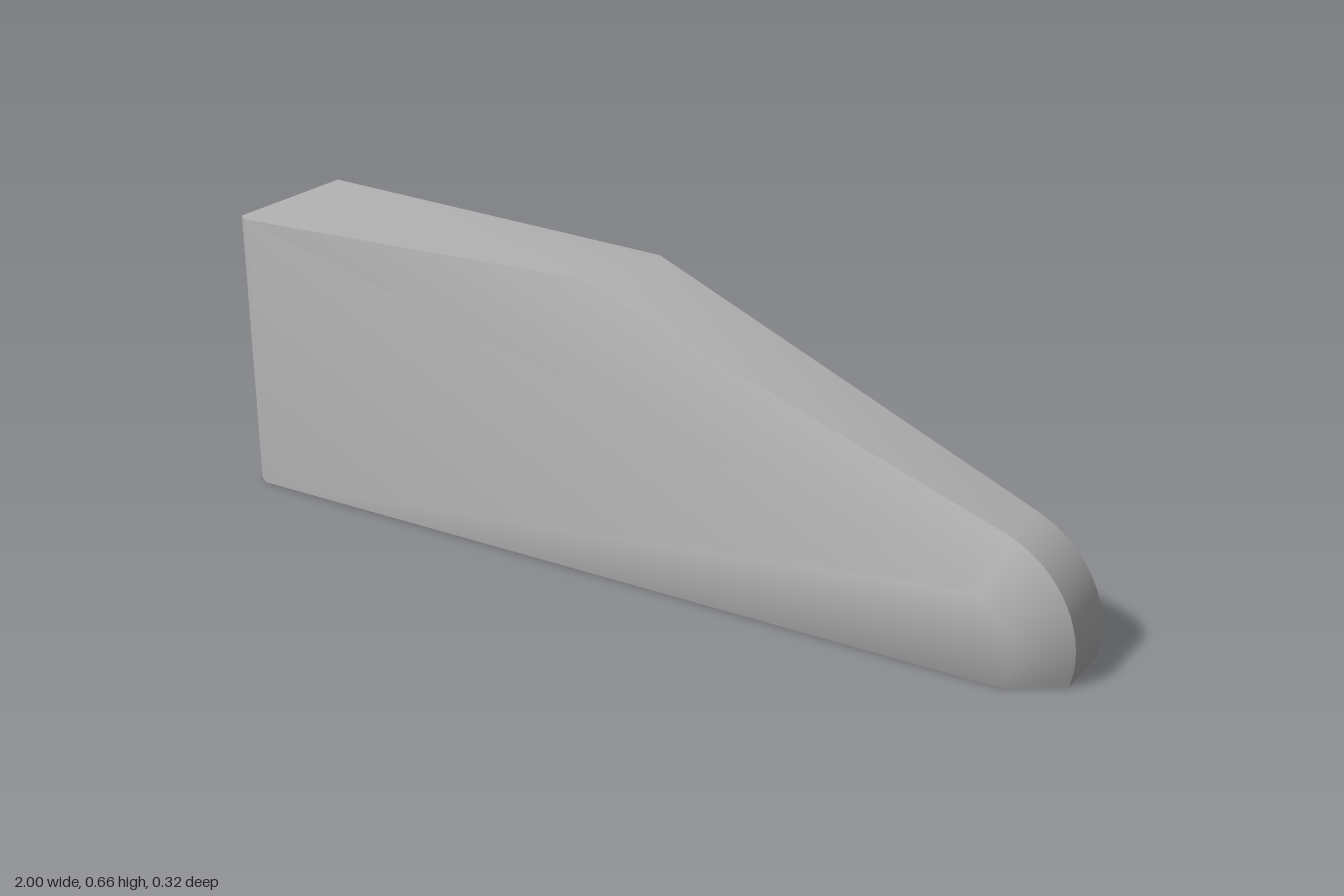
import * as THREE from 'three';
import { toCreasedNormals } from 'three/addons/utils/BufferGeometryUtils.js';

const ARC_STEPS = 16;

// One side contour: left edge, top kink, rounded nose, down to the floor.
function contour({ left, kink, nose, radius, startDeg, z }) {
  const pts = [[left[0], 0, left[1]], [left[0], 0.66, left[1]], [kink[0], 0.66, kink[1]]];
  const cy = 0.065;
  const start = THREE.MathUtils.degToRad(startDeg);
  const end = Math.asin(-cy / radius);
  for (let i = 0; i <= ARC_STEPS; i++) {
    const a = start + (end - start) * i / ARC_STEPS;
    pts.push([nose + radius * Math.cos(a), cy + radius * Math.sin(a), z]);
  }
  return pts.map(p => new THREE.Vector3(...p));
}

// Join the contours from front to back and close both ends.
function loft(rings) {
  const pos = [];
  const tri = (a, b, c) => {
    if (new THREE.Triangle(a, b, c).getArea() < 1e-7) return;
    for (const p of [a, b, c]) pos.push(p.x, p.y, p.z);
  };
  const n = rings[0].length;
  for (let r = 0; r < rings.length - 1; r++) {
    const f = rings[r], b = rings[r + 1];
    for (let i = 0; i < n; i++) {
      const j = (i + 1) % n;
      tri(f[i], f[j], b[i]);
      tri(f[j], b[j], b[i]);
    }
  }
  const front = rings[0], back = rings[rings.length - 1];
  for (let i = 1; i < n - 1; i++) {
    tri(front[0], front[i + 1], front[i]);
    tri(back[0], back[i], back[i + 1]);
  }
  const geo = new THREE.BufferGeometry();
  geo.setAttribute('position', new THREE.Float32BufferAttribute(pos, 3));
  return toCreasedNormals(geo, 0.7);
}

export function createModel() {
  const group = new THREE.Group();
  group.name = 'wedgeFin';
  const grey = new THREE.MeshStandardMaterial({ color: 0xb4b4b4 });
  grey.name = 'grey';

  // Flat slanted front panel, outer bevel edge, flat back
  const front = contour({ left: [-0.975, 0.162], kink: [-0.975, 0.162], nose: 0.757, radius: 0.14, startDeg: 75, z: 0.047 });
  const bevel = contour({ left: [-1, 0.147], kink: [-0.14, 0.047], nose: 0.75, radius: 0.25, startDeg: 69, z: -0.032 });
  const back = contour({ left: [-0.98, -0.162], kink: [-0.075, -0.162], nose: 0.75, radius: 0.25, startDeg: 69, z: -0.162 });

  const body = new THREE.Mesh(loft([front, bevel, back]), grey);
  body.name = 'finBody';
  group.add(body);
  return group;
}
